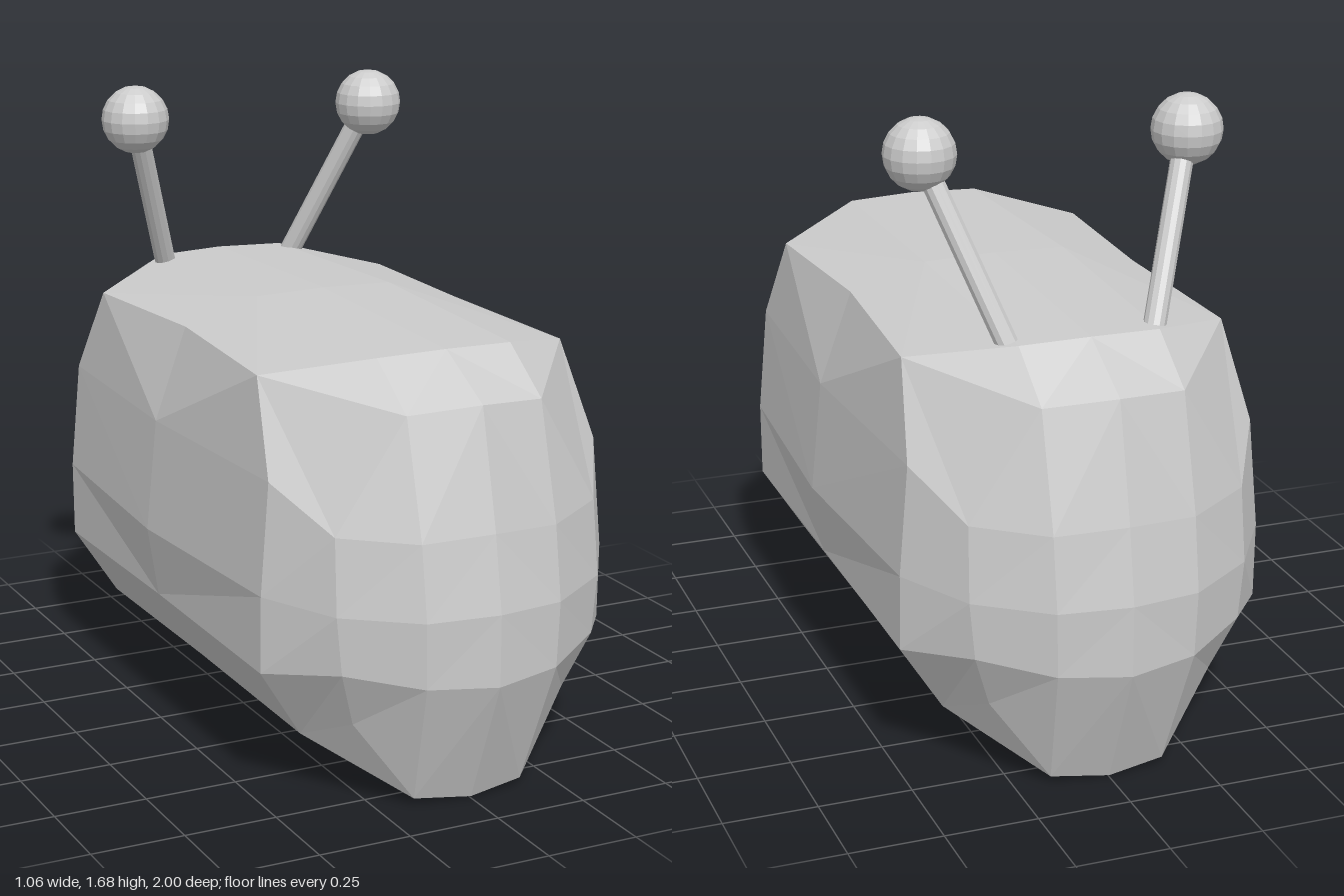
import * as THREE from 'three';

const material = new THREE.MeshStandardMaterial({ color: 0xcccccc, flatShading: true });

// One quarter of the body: rings from top to bottom, each running from the
// middle of the end (+z) round to the middle of the side (+x).
// Repeated points let a ring merge into a corner.
const topCorner = [0.44, 1.09, 0.52], topSide = [0.41, 1.10, 0], topMid = [0.2, 1.162, 0];
const lowCorner = [0.155, 0.02, 0.84], lowSide = [0.155, 0.025, 0];
const rings = [
  [[0, 1.167, 0], topMid, topMid, topMid, topMid],
  [[0, 1.15, 0.7], [0.19, 1.145, 0.69], topCorner, topCorner, topSide],
  [[0, 1.05, 0.89], [0.19, 1.035, 0.85], topCorner, topCorner, topSide],
  [[0, 0.74, 0.965], [0.19, 0.73, 0.935], [0.37, 0.74, 0.82], [0.47, 0.85, 0.65], [0.5, 0.85, 0]],
  [[0, 0.54, 1], [0.19, 0.535, 0.965], [0.375, 0.54, 0.84], [0.495, 0.555, 0.655], [0.53, 0.55, 0]],
  [[0, 0.35, 1], [0.185, 0.36, 0.96], [0.36, 0.385, 0.84], [0.495, 0.35, 0.65], [0.5, 0.36, 0]],
  [[0, 0.005, 0.86], lowCorner, [0.305, 0.23, 0.79], [0.375, 0.16, 0.63], [0.375, 0.165, 0]],
  [[0, 0.005, 0.86], lowCorner, lowCorner, lowCorner, lowSide],
  [[0, 0, 0], lowSide, lowSide, lowSide, lowSide],
];

function bodyGeometry() {
  const positions = [];
  for (const sx of [1, -1]) for (const sz of [1, -1]) {
    const triangle = (a, b, c) => {
      if (a === b || b === c || a === c) return;
      const corners = sx * sz > 0 ? [a, b, c] : [a, c, b];
      for (const [x, y, z] of corners) positions.push(x * sx, y, z * sz);
    };
    for (let i = 0; i < rings.length - 1; i++) for (let j = 0; j < 4; j++) {
      const a = rings[i][j], b = rings[i + 1][j], c = rings[i + 1][j + 1], d = rings[i][j + 1];
      triangle(a, b, c);
      triangle(a, c, d);
    }
  }
  const geometry = new THREE.BufferGeometry();
  geometry.setAttribute('position', new THREE.Float32BufferAttribute(positions, 3));
  geometry.computeVertexNormals();
  return geometry;
}

// Leaning stalk with a ball on its tip
function createAntenna(side) {
  const base = new THREE.Vector3(side * 0.195, 1.12, -0.64);
  const tip = new THREE.Vector3(side * 0.362, 1.59, -0.447);
  const direction = tip.clone().sub(base);

  const stalk = new THREE.Mesh(new THREE.CylinderGeometry(0.03, 0.03, direction.length(), 12), material);
  stalk.name = 'stalk';
  stalk.position.copy(base).lerp(tip, 0.5);
  stalk.quaternion.setFromUnitVectors(new THREE.Vector3(0, 1, 0), direction.normalize());

  const ball = new THREE.Mesh(new THREE.SphereGeometry(0.094, 16, 10), material);
  ball.name = 'ball';
  ball.position.copy(tip);

  const antenna = new THREE.Group();
  antenna.name = side > 0 ? 'leftAntenna' : 'rightAntenna';
  antenna.add(stalk, ball);
  return antenna;
}

export function createModel() {
  const model = new THREE.Group();
  model.name = 'antennaCreature';
  const body = new THREE.Mesh(bodyGeometry(), material);
  body.name = 'body';
  model.add(body, createAntenna(1), createAntenna(-1));
  return model;
}
